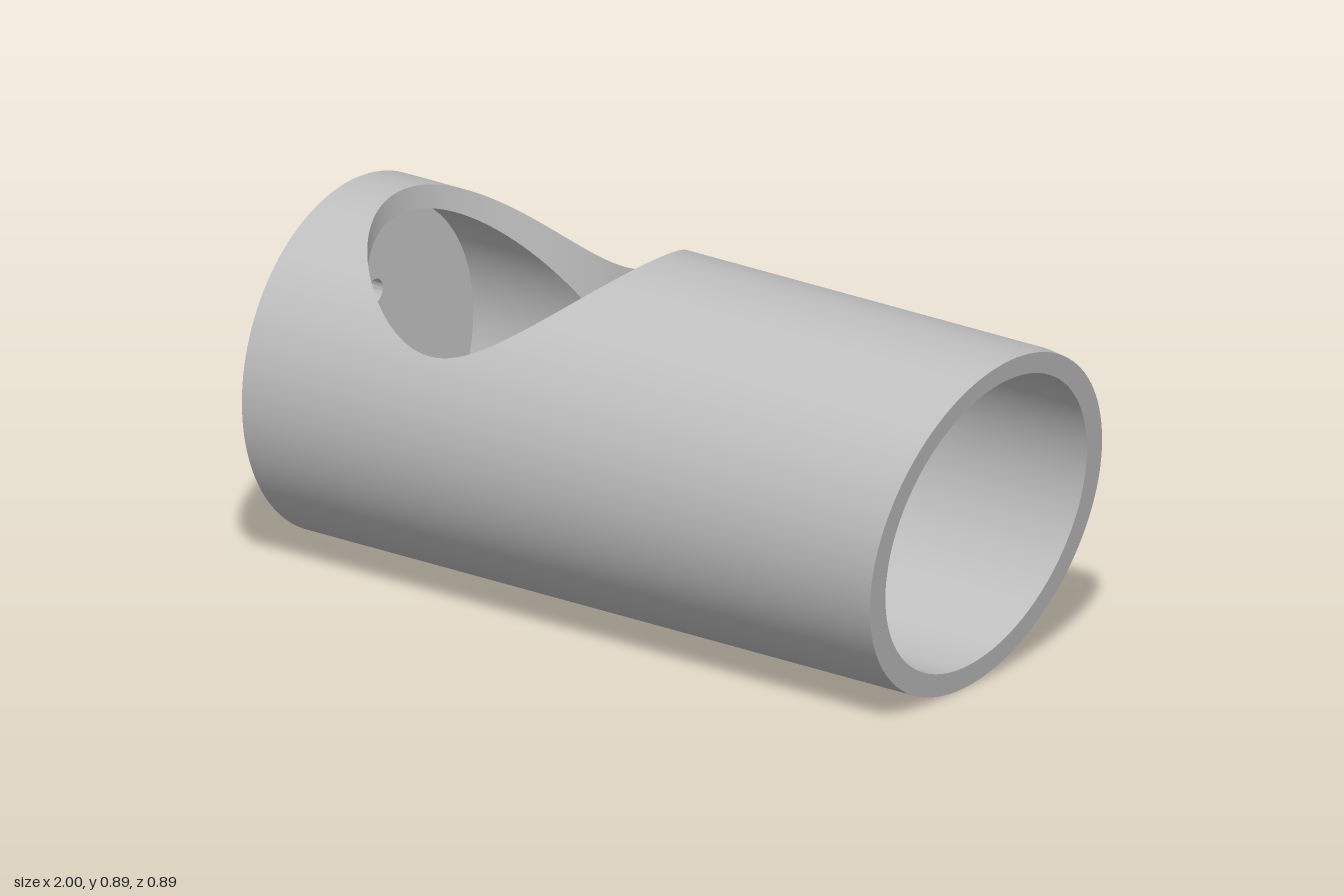
import * as THREE from 'three';
import { toCreasedNormals } from 'three/addons/utils/BufferGeometryUtils.js';

const R = 0.4455, r = 0.386;       // outer and bore radius; the top opening shares the bore radius
const CY = 0.4455, CX = -0.475;    // axis height and centre of the top opening
const CAP = 0.06;                  // end wall thickness
const endX = y => 0.845 + y * 0.155 / 0.885;   // slanted open end

// Grid surface from fn(u, v) -> [x, y, z, nx, ny, nz]
function patch(u0, u1, nu, nv, fn, flip = false) {
  const pos = [], nor = [], idx = [];
  for (let i = 0; i <= nu; i++) {
    for (let j = 0; j <= nv; j++) {
      const p = fn(u0 + (u1 - u0) * i / nu, j / nv);
      pos.push(p[0], p[1], p[2]);
      nor.push(p[3], p[4], p[5]);
      if (i < nu && j < nv) {
        const a = i * (nv + 1) + j, b = a + nv + 1;
        if (flip) idx.push(a, a + 1, b, b, a + 1, b + 1);
        else idx.push(a, b, a + 1, b, b + 1, a + 1);
      }
    }
  }
  const g = new THREE.BufferGeometry();
  g.setAttribute('position', new THREE.Float32BufferAttribute(pos, 3));
  g.setAttribute('normal', new THREE.Float32BufferAttribute(nor, 3));
  g.setIndex(idx);
  return g;
}

export function createModel() {
  const group = new THREE.Group();
  const grey = new THREE.MeshStandardMaterial({ color: 0xc0c0c0, side: THREE.DoubleSide });
  grey.name = 'grey';
  const add = (name, geo) => {
    const m = new THREE.Mesh(geo, grey);
    m.name = name;
    group.add(m);
    return m;
  };

  // Cylinder wall in three pieces: either side of the opening, and the uncut remainder
  function wall(name, rad, x0, xEnd, flip) {
    const s = flip ? -1 : 1;
    const at = (t, a, b, v) => [a + (b - a) * v, CY + rad * Math.cos(t), rad * Math.sin(t),
      0, s * Math.cos(t), s * Math.sin(t)];
    const theta = f => Math.asin(Math.min(1, Math.max(-1, r * Math.sin(f) / rad)));
    const H = Math.PI / 2, edge = theta(H);
    add(name + 'BesideCap', patch(-H, H, 64, 1, (f, v) =>
      at(theta(f), x0, CX - r * Math.cos(f), v), flip));
    add(name + 'TowardOpenEnd', patch(-H, H, 64, 1, (f, v) =>
      at(theta(f), CX + r * Math.cos(f), xEnd(theta(f)), v), flip));
    add(name + 'Lower', patch(edge, 2 * Math.PI - edge, 96, 1, (t, v) =>
      at(t, x0, xEnd(t), v), flip));
  }

  // Upper lip of the open end dips very slightly
  const up = t => Math.max(0, Math.cos(t));
  const lip = t => {
    const q = R - 0.006 * up(t), y = CY + q * Math.cos(t);
    return [endX(y), y, q * Math.sin(t)];
  };
  const lipStart = t => lip(t)[0] - 0.05 * up(t);
  const boreEnd = t => endX(CY + r * Math.cos(t));

  wall('outerWall', R, -1, lipStart, false);
  wall('boreWall', r, -1 + CAP, boreEnd, true);

  add('lip', patch(-Math.PI / 2, Math.PI / 2, 64, 1, (t, v) => {
    const p = v ? lip(t) : [lipStart(t), CY + R * Math.cos(t), R * Math.sin(t)];
    return [...p, 0, Math.cos(t), Math.sin(t)];
  }));

  // Slanted annular face of the open end
  const n = new THREE.Vector3(1, -0.155 / 0.885, 0).normalize();
  add('openEndRim', patch(0, 2 * Math.PI, 128, 1, (t, v) => {
    const p = v ? lip(t) : [boreEnd(t), CY + r * Math.cos(t), r * Math.sin(t)];
    return [...p, n.x, n.y, 0];
  }, true));

  // Vertical wall of the opening, from the bore up to the outside
  add('openingWall', patch(0, 2 * Math.PI, 128, 1, (f, v) => {
    const c = Math.cos(f), z = r * Math.sin(f);
    const y = v ? Math.sqrt(R * R - z * z) : r * Math.abs(c);
    return [CX + r * c, CY + y, z, -c, 0, -Math.sin(f)];
  }));

  // Closed end with three drilled holes, and the annulus around it
  const disc = new THREE.Shape().absarc(0, 0, r, 0, Math.PI * 2);
  for (const [y, hr] of [[-0.168, 0.031], [0, 0.04], [0.168, 0.031]]) {
    disc.holes.push(new THREE.Path().absarc(0, y, hr, 0, Math.PI * 2, true));
  }
  const cap = toCreasedNormals(new THREE.ExtrudeGeometry(disc,
    { depth: CAP, bevelEnabled: false, curveSegments: 64 }), 0.6);
  cap.rotateY(Math.PI / 2);
  add('endCap', cap).position.set(-1, CY, 0);
  const ring = new THREE.RingGeometry(r, R, 128).rotateY(-Math.PI / 2);
  add('endCapBorder', ring).position.set(-1, CY, 0);

  return group;
}
